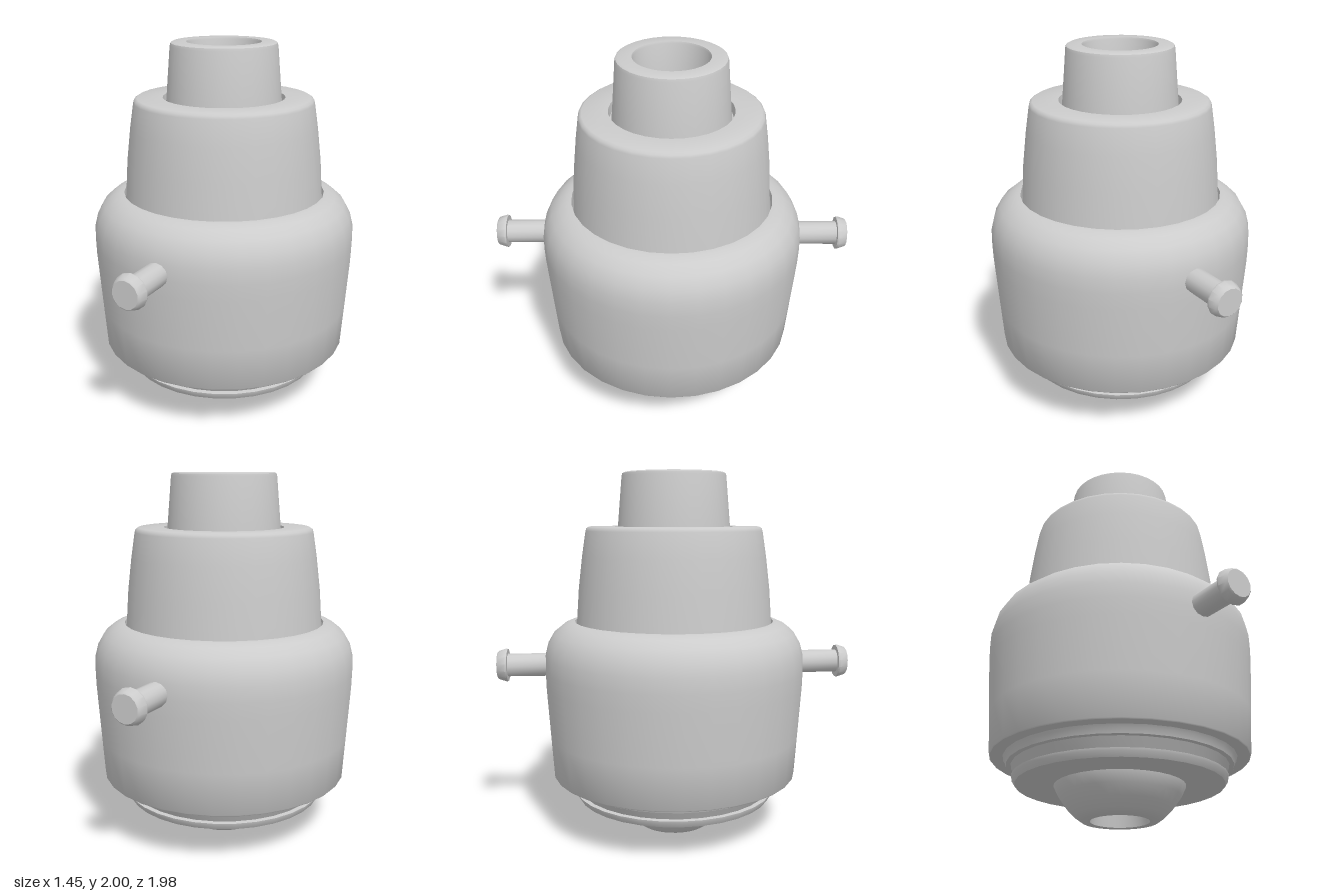
import * as THREE from 'three';
import { toCreasedNormals } from 'three/addons/utils/BufferGeometryUtils.js';

const material = new THREE.MeshStandardMaterial({ color: 0xcccccc, side: THREE.DoubleSide });

// Turned part from [radius, height] pairs; edges sharper than the crease angle stay crisp
function turned(name, profile, segments = 32, crease = 0.7) {
  const points = profile.map(([r, y]) => new THREE.Vector2(r, y));
  const geometry = toCreasedNormals(new THREE.LatheGeometry(points, segments), crease);
  const mesh = new THREE.Mesh(geometry, material);
  mesh.name = name;
  return mesh;
}

export function createModel() {
  const group = new THREE.Group();
  group.name = 'turnedFitting';

  // Bottom nozzle with a recessed bore
  group.add(turned('nozzle', [
    [0, 0.12], [0.14, 0.12], [0.155, 0], [0.2, 0], [0.235, 0.025],
    [0.28, 0.07], [0.32, 0.125], [0.35, 0.185], [0.35, 0.2],
  ]));

  // Stepped rings under the body
  group.add(turned('baseRings', [
    [0.3, 0.18], [0.55, 0.18], [0.567, 0.207], [0.57, 0.22], [0.545, 0.222],
    [0.575, 0.275], [0.6, 0.277], [0.61, 0.305], [0.625, 0.325],
  ]));

  // Main rounded body
  group.add(turned('body', [
    [0.5, 0.317], [0.685, 0.317], [0.69, 0.323], [0.705, 0.55], [0.723, 0.83], [0.725, 0.92], [0.723, 1.0],
    [0.705, 1.07], [0.67, 1.13], [0.62, 1.17], [0.58, 1.187], [0.555, 1.19], [0.552, 1.15],
  ]));

  // Tapered shoulder with a slim gap around the neck
  group.add(turned('shoulder', [
    [0.55, 1.12], [0.543, 1.19], [0.53, 1.37], [0.508, 1.55], [0.487, 1.685],
    [0.482, 1.7], [0.468, 1.709], [0.33, 1.709], [0.325, 1.66], [0.3, 1.65],
  ]));

  // Neck with a blind bore in the top
  group.add(turned('neck', [
    [0.318, 1.62], [0.309, 1.71], [0.286, 1.98], [0.282, 1.994], [0.27, 2],
    [0.2, 2], [0.196, 1.99], [0.19, 1.65], [0, 1.63],
  ]));

  // Headed pins at front and back
  for (const side of [1, -1]) {
    const pin = new THREE.Group();
    pin.name = side > 0 ? 'frontPin' : 'backPin';
    pin.add(turned('pinShaft', [[0.065, 0.65], [0.065, 0.94]], 12));
    pin.add(turned('pinHead', [
      [0, 0.932], [0.092, 0.932], [0.094, 0.94], [0.081, 0.98], [0.073, 0.988], [0, 0.988],
    ], 14));
    pin.rotation.x = side * Math.PI / 2;
    pin.position.y = 0.942;
    group.add(pin);
  }
  return group;
}
